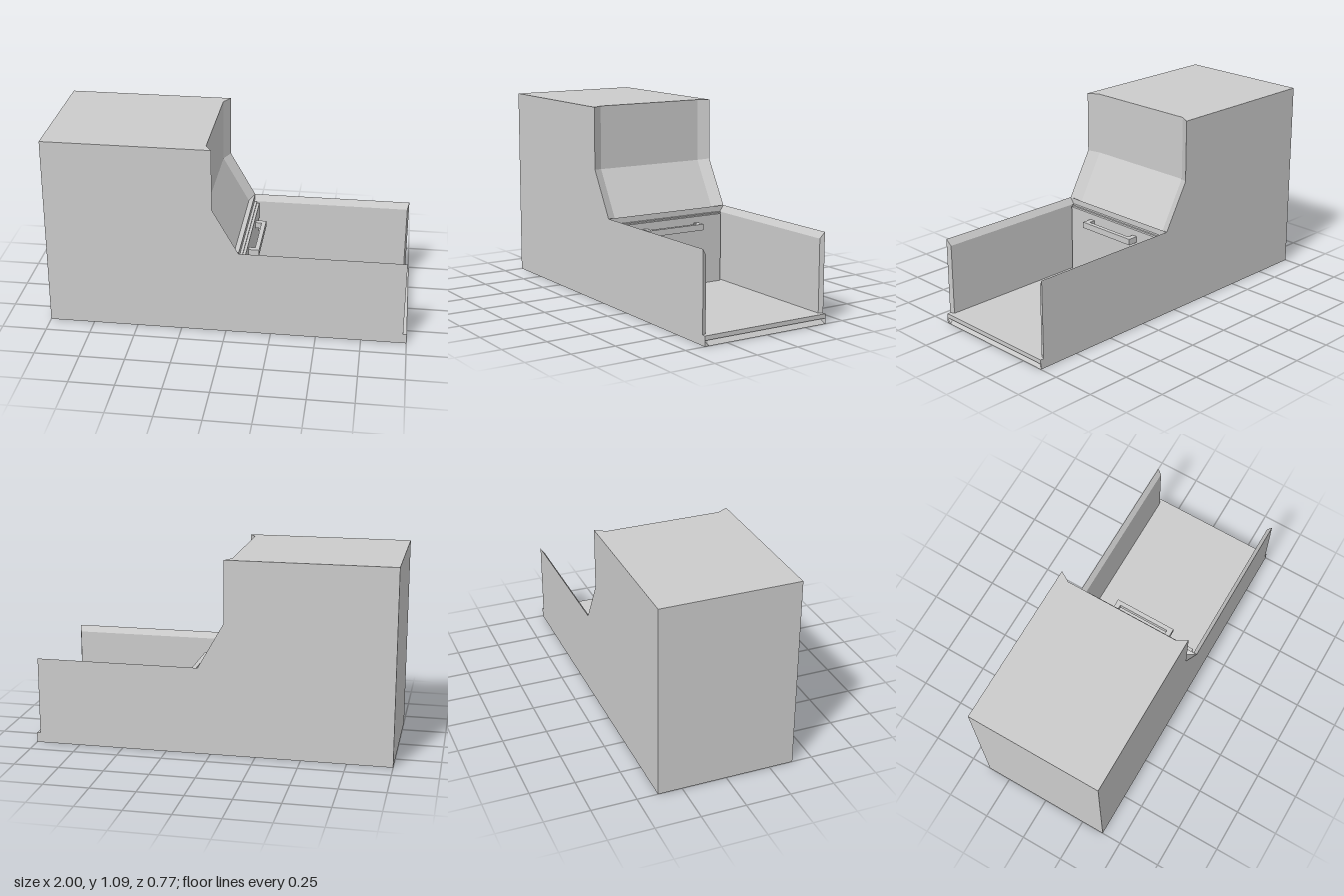
import * as THREE from 'three';

const W = 0.385; // half width of the whole body
const material = new THREE.MeshStandardMaterial({ color: 0xcccccc, flatShading: true });

// Joins counter-clockwise xy outlines, given as [z, points] in rising z, into a closed solid.
function loft(sections) {
  const pos = [];
  const put = (p, z) => pos.push(p[0], p[1], z);
  for (let k = 0; k < sections.length - 1; k++) {
    const [z0, lo] = sections[k];
    const [z1, hi] = sections[k + 1];
    lo.forEach((a, i) => {
      const j = (i + 1) % lo.length;
      put(a, z0); put(lo[j], z0); put(hi[j], z1);
      put(a, z0); put(hi[j], z1); put(hi[i], z1);
    });
  }
  const cap = ([z, pts], flip) => {
    const outline = pts.map((p) => new THREE.Vector2(p[0], p[1]));
    for (const tri of THREE.ShapeUtils.triangulateShape(outline, [])) {
      (flip ? [...tri].reverse() : tri).forEach((i) => put(pts[i], z));
    }
  };
  cap(sections[0], true);
  cap(sections[sections.length - 1], false);
  const geometry = new THREE.BufferGeometry();
  geometry.setAttribute('position', new THREE.Float32BufferAttribute(pos, 3));
  geometry.computeVertexNormals();
  return geometry;
}

// Box from its minimum and maximum corners.
function box(x0, x1, y0, y1, z0, z1) {
  return new THREE.BoxGeometry(x1 - x0, y1 - y0, z1 - z0)
    .translate((x0 + x1) / 2, (y0 + y1) / 2, (z0 + z1) / 2);
}

export function createModel() {
  const model = new THREE.Group();
  const add = (name, geometry, parent = model) => {
    const mesh = new THREE.Mesh(geometry, material);
    mesh.name = name;
    parent.add(mesh);
  };

  // Tall cabinet: the front is set back between bevelled cheeks.
  const cheek = [[-1, 0], [0.07, 0], [0.07, 0.49], [0.069, 0.492], [-0.075, 0.745], [-0.075, 1.09], [-1, 1.09]];
  const inset = [[-1, 0], [0.07, 0], [0.07, 0.49], [0.04, 0.473], [-0.11, 0.737], [-0.11, 1.09], [-1, 1.09]];
  add('cabinet', loft([[-W, cheek], [-0.325, inset], [0.325, inset], [W, cheek]]));

  // Side walls of the open bay, bevelled inward on the top and end.
  const outer = [[0.07, 0], [0.98, 0], [0.98, 0.49], [0.07, 0.49]];
  const inner = [[0.07, 0], [0.97, 0], [0.97, 0.455], [0.07, 0.455]];
  add('leftWall', loft([[0.36, inner], [W, outer]]));
  add('rightWall', loft([[-W, outer], [-0.36, inner]]));
  add('floor', box(0.07, 0.97, 0, 0.055, -0.36, 0.36));

  // End lip with a groove that closes at both corners.
  const lipEnd = [[0.97, 0], [1, 0], [1, 0.029], [1, 0.03], [1, 0.055], [0.97, 0.055]];
  const lipMid = [[0.97, 0], [1, 0], [0.98, 0.03], [1, 0.031], [1, 0.055], [0.97, 0.055]];
  add('endLip', loft([[-W, lipEnd], [-0.36, lipMid], [0.36, lipMid], [W, lipEnd]]));

  // Stepped door panel on the cabinet face.
  add('doorFrame', box(0.06, 0.085, 0.05, 0.457, -0.353, 0.353));
  add('doorPanel', box(0.08, 0.1, 0.05, 0.45, -0.345, 0.345));

  // Handle: a square bar on two legs.
  const handle = new THREE.Group();
  handle.name = 'handle';
  model.add(handle);
  add('handleBar', box(0.135, 0.16, 0.38, 0.415, -0.185, 0.185), handle);
  add('leftHandleLeg', box(0.095, 0.135, 0.38, 0.415, 0.155, 0.185), handle);
  add('rightHandleLeg', box(0.095, 0.135, 0.38, 0.415, -0.185, -0.155), handle);

  return model;
}
